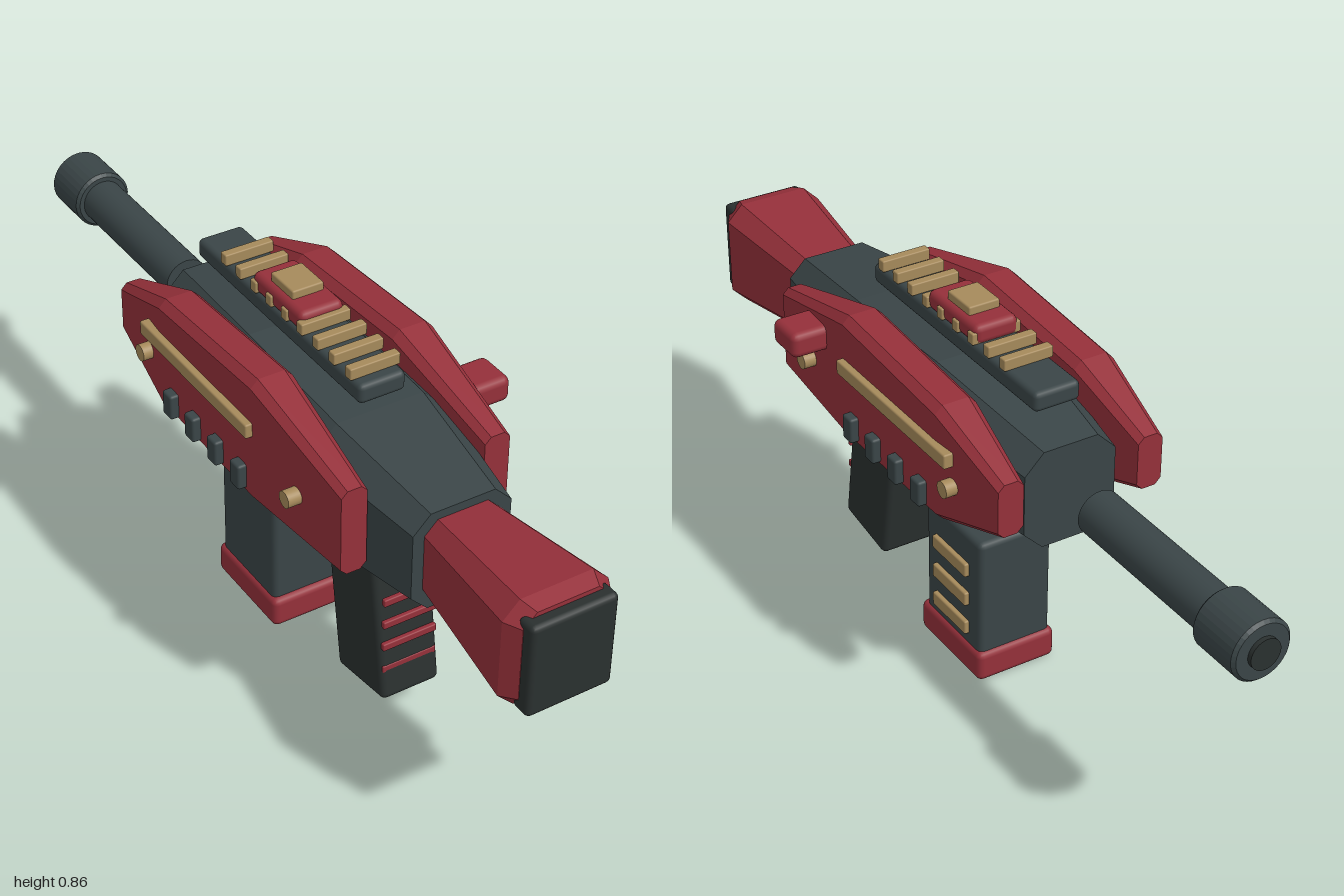
import * as THREE from 'three';
import { RoundedBoxGeometry } from 'three/addons/geometries/RoundedBoxGeometry.js';

const mat = (color, extra = {}) => new THREE.MeshStandardMaterial({ color, ...extra });
const RED = 0x95303a, DARK = 0x3a4547, BLACK = 0x2a302f, GOLD = 0xa68a5b;

// Chamfered rectangle, counter-clockwise seen from +z
function octagon([z, y0, y1, w, c]) {
  return [[-w + c, y0], [w - c, y0], [w, y0 + c], [w, y1 - c],
    [w - c, y1], [-w + c, y1], [-w, y1 - c], [-w, y0 + c]].map(([x, y]) => [x, y, z]);
}

// Faceted hull through sections [z, bottom, top, halfWidth, chamfer], front to back
function loft(sections) {
  const rings = sections.map(octagon), p = [];
  const tri = (...v) => v.forEach((q) => p.push(...q));
  for (let s = 0; s < rings.length - 1; s++) {
    const a = rings[s], b = rings[s + 1];
    for (let i = 0; i < 8; i++) {
      const j = (i + 1) % 8;
      tri(a[i], b[i], b[j]);
      tri(a[i], b[j], a[j]);
    }
  }
  const f = rings[0], r = rings[rings.length - 1];
  for (let i = 1; i < 7; i++) {
    tri(f[0], f[i], f[i + 1]);
    tri(r[0], r[i + 1], r[i]);
  }
  const g = new THREE.BufferGeometry();
  g.setAttribute('position', new THREE.Float32BufferAttribute(p, 3));
  g.computeVertexNormals();
  return g;
}

export function createModel() {
  const model = new THREE.Group();
  const body = new THREE.Group();
  body.name = 'launcher';
  body.position.x = -0.029; // parts below are laid out around the barrel axis
  model.add(body);

  const add = (name, geometry, color, x = 0, y = 0, z = 0, extra) => {
    const m = new THREE.Mesh(geometry, mat(color, extra));
    m.name = name;
    m.position.set(x, y, z);
    body.add(m);
    return m;
  };
  const hull = (name, color, sections, x = 0) =>
    add(name, loft(sections), color, x, 0, 0, { flatShading: true });
  const box = (name, color, w, h, d, x, y, z, r = 0.008) =>
    add(name, new RoundedBoxGeometry(w, h, d, 2, r), color, x, y, z);
  const rod = (name, color, r, length, x, y, z, axis = 'z') => {
    const g = new THREE.CylinderGeometry(r, r, length, 32);
    if (axis === 'z') g.rotateX(Math.PI / 2); else g.rotateZ(Math.PI / 2);
    return add(name, g, color, x, y, z);
  };

  // Receiver and stock
  hull('receiver', DARK, [
    [0.635, 0.455, 0.69, 0.115, 0.04],
    [0.34, 0.418, 0.73, 0.16, 0.057],
    [0.0, 0.445, 0.745, 0.158, 0.055],
    [-0.35, 0.47, 0.70, 0.11, 0.045],
  ]);
  hull('stock', RED, [
    [0.972, 0.46, 0.69, 0.1, 0.03],
    [0.935, 0.443, 0.70, 0.121, 0.038],
    [0.63, 0.48, 0.67, 0.088, 0.03],
  ]);
  box('buttPad', BLACK, 0.198, 0.22, 0.05, 0, 0.57, 0.975, 0.012);

  // Barrel
  rod('barrel', DARK, 0.051, 0.44, 0, 0.594, -0.675);
  const muzzle = new THREE.LatheGeometry([
    [0, -0.065], [0.062, -0.065], [0.069, -0.058], [0.069, 0.058], [0.062, 0.065], [0, 0.065],
  ].map(([r, y]) => new THREE.Vector2(r, y)), 32);
  muzzle.rotateX(Math.PI / 2);
  add('muzzle', muzzle, DARK, 0, 0.594, -0.925, { flatShading: true });
  rod('bore', BLACK, 0.035, 0.02, 0, 0.594, -0.99);

  // Side panels with their trim, mirrored
  for (const s of [1, -1]) {
    hull('sidePanel', RED, [
      [0.51, 0.50, 0.705, 0.03, 0.014],
      [0.2, 0.484, 0.788, 0.049, 0.018],
      [-0.18, 0.49, 0.765, 0.049, 0.018],
      [-0.39, 0.56, 0.685, 0.03, 0.014],
    ], s * 0.168);
    box('panelStrip', GOLD, 0.026, 0.034, 0.445, s * 0.22, 0.671, -0.018, 0.004);
    for (const z of [0.36, -0.238]) {
      rod('panelStud', GOLD, 0.019, 0.05, s * 0.212, 0.607, z, 'x');
    }
    for (let i = 0; i < 4; i++) {
      box('panelVent', DARK, 0.036, 0.06, 0.037, s * 0.219, 0.538, 0.16 - i * 0.095, 0.006);
    }
  }
  box('chargingKnob', RED, 0.1, 0.06, 0.098, 0.243, 0.692, 0.332, 0.016);

  // Top rail and sight
  box('topRail', DARK, 0.11, 0.046, 0.65, 0, 0.782, 0.025, 0.012);
  for (let i = 0; i < 9; i++) {
    box('railRib', GOLD, 0.118, 0.027, 0.022, 0, 0.817, 0.31 - i * 0.0613, 0.003);
  }
  box('sightBase', RED, 0.106, 0.046, 0.196, 0, 0.823, 0.026, 0.015);
  box('sightCap', GOLD, 0.075, 0.03, 0.088, 0, 0.85, 0.023, 0.004);

  // Raked grip with finger ribs
  const grip = box('grip', BLACK, 0.143, 0.42, 0.18, 0, 0.277, 0.363, 0.014);
  grip.rotation.x = -0.155;
  for (let i = 0; i < 4; i++) {
    box('gripRib', RED, 0.132, 0.018, 0.012, 0, 0.34 - i * 0.06, 0.467, 0.003);
  }

  // Magazine
  box('magazine', DARK, 0.182, 0.33, 0.226, 0, 0.197, -0.04, 0.014);
  box('magazineBase', RED, 0.198, 0.075, 0.25, 0, 0.04, -0.038, 0.015);
  for (let i = 0; i < 3; i++) {
    box('magazineStrip', GOLD, 0.026, 0.034, 0.137, 0.089, 0.272 - i * 0.077, -0.038, 0.004);
  }
  return model;
}
